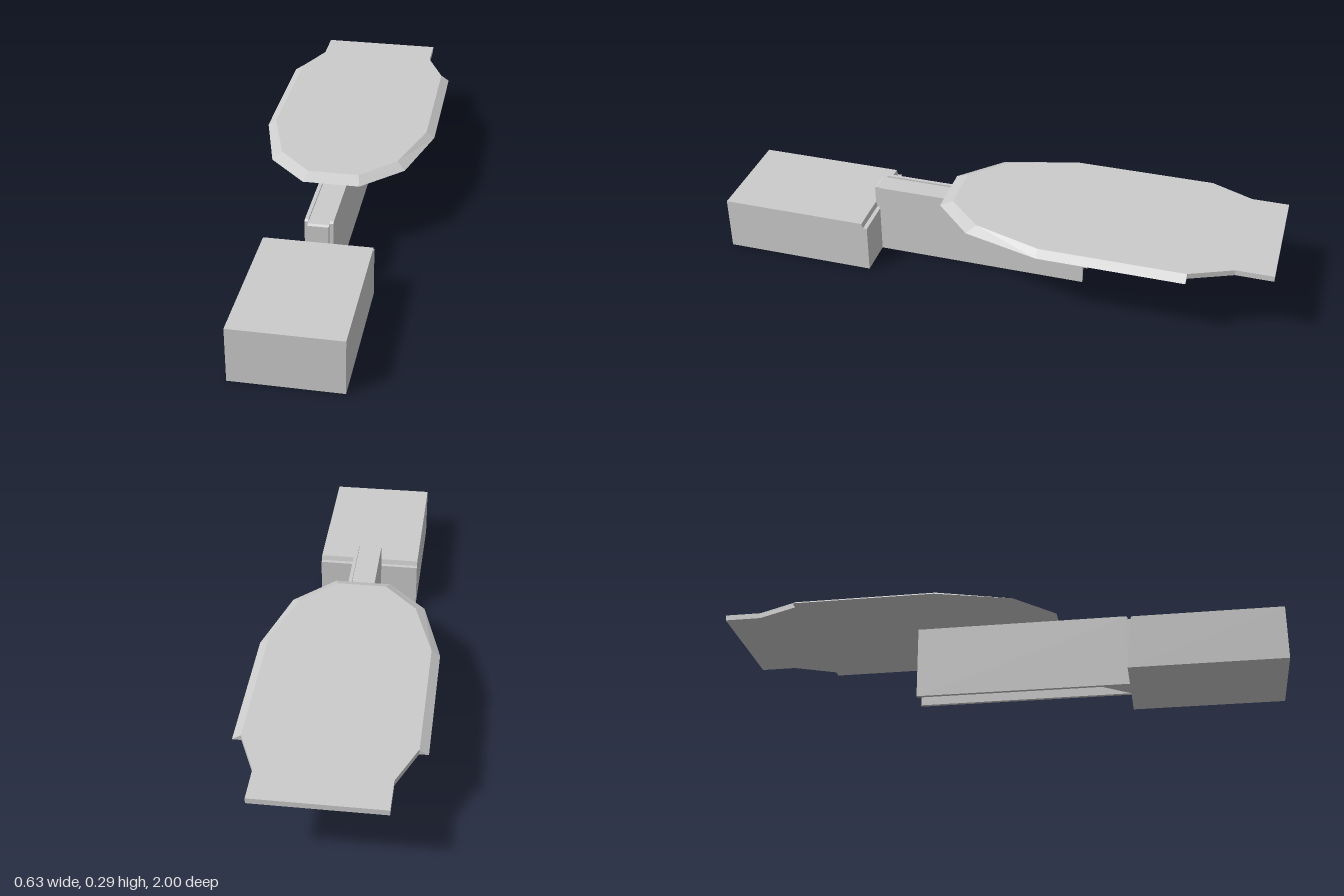
import * as THREE from 'three';

const material = new THREE.MeshStandardMaterial({ color: 0xcccccc, flatShading: true });

// Side profile given as [z, y] points, extruded from x0 to x1
function sideProfile(name, points, x0, x1) {
  const shape = new THREE.Shape(points.map(([z, y]) => new THREE.Vector2(z, y)));
  const geo = new THREE.ExtrudeGeometry(shape, { depth: x1 - x0, bevelEnabled: false });
  geo.rotateY(-Math.PI / 2).translate(x1, 0, 0);
  const mesh = new THREE.Mesh(geo, material);
  mesh.name = name;
  return mesh;
}

// Flat plate whose top outline is drawn in from its bottom outline
function bevelledPlate(name, rows, y0, y1) {
  // rows: bottom x, bottom z, top x, top z for the +x half
  const full = [...rows, ...rows.map(([a, b, c, d]) => [-a, b, -c, d]).reverse()];
  const shape = new THREE.Shape(full.map(([x, z]) => new THREE.Vector2(x, -z)));
  const geo = new THREE.ExtrudeGeometry(shape, { depth: y1 - y0, bevelEnabled: false });
  geo.rotateX(-Math.PI / 2).translate(0, y0, 0);
  const p = geo.attributes.position;
  const middle = (y0 + y1) / 2;
  for (let i = 0; i < p.count; i++) {
    if (p.getY(i) < middle) continue;
    const row = full.find(([x, z]) => Math.hypot(x - p.getX(i), z - p.getZ(i)) < 1e-4);
    if (row) p.setXYZ(i, row[2], y1, row[3]);
  }
  geo.computeVertexNormals();
  const mesh = new THREE.Mesh(geo, material);
  mesh.name = name;
  return mesh;
}

export function createModel() {
  const group = new THREE.Group();
  group.name = 'model';

  // Front block with a small step along its rear top edge
  group.add(sideProfile('baseBlock', [
    [0.45, 0], [1, 0], [1, 0.196], [0.47, 0.196], [0.465, 0.178], [0.45, 0.178],
  ], -0.182, 0.193));

  // Two thin walls forming the arm's open channel
  const wall = [[-0.32, 0], [0.452, 0], [0.452, 0.262], [0.446, 0.268], [-0.32, 0.268]];
  group.add(sideProfile('armWallRight', wall, -0.043, -0.03));
  group.add(sideProfile('armWallLeft', wall, 0.042, 0.055));

  // Tapered filler between the walls
  group.add(sideProfile('armCore', [
    [0.45, 0], [0.45, 0.175], [0.47, 0.175], [0.47, 0.257], [0.462, 0.262],
    [-0.32, 0.262], [-0.32, 0.235],
  ], -0.03, 0.042));

  // Long faceted plate with a sloped rim and a narrower tail
  group.add(bevelledPlate('topPlate', [
    [0.1, 0.2, 0.09, 0.155],
    [0.24, 0.06, 0.21, 0.03],
    [0.315, -0.21, 0.285, -0.21],
    [0.315, -0.72, 0.285, -0.72],
    [0.284, -0.72, 0.284, -0.721],
    [0.22, -0.87, 0.22, -0.87],
    [0.22, -1, 0.22, -1],
  ], 0.268, 0.288));

  return group;
}
